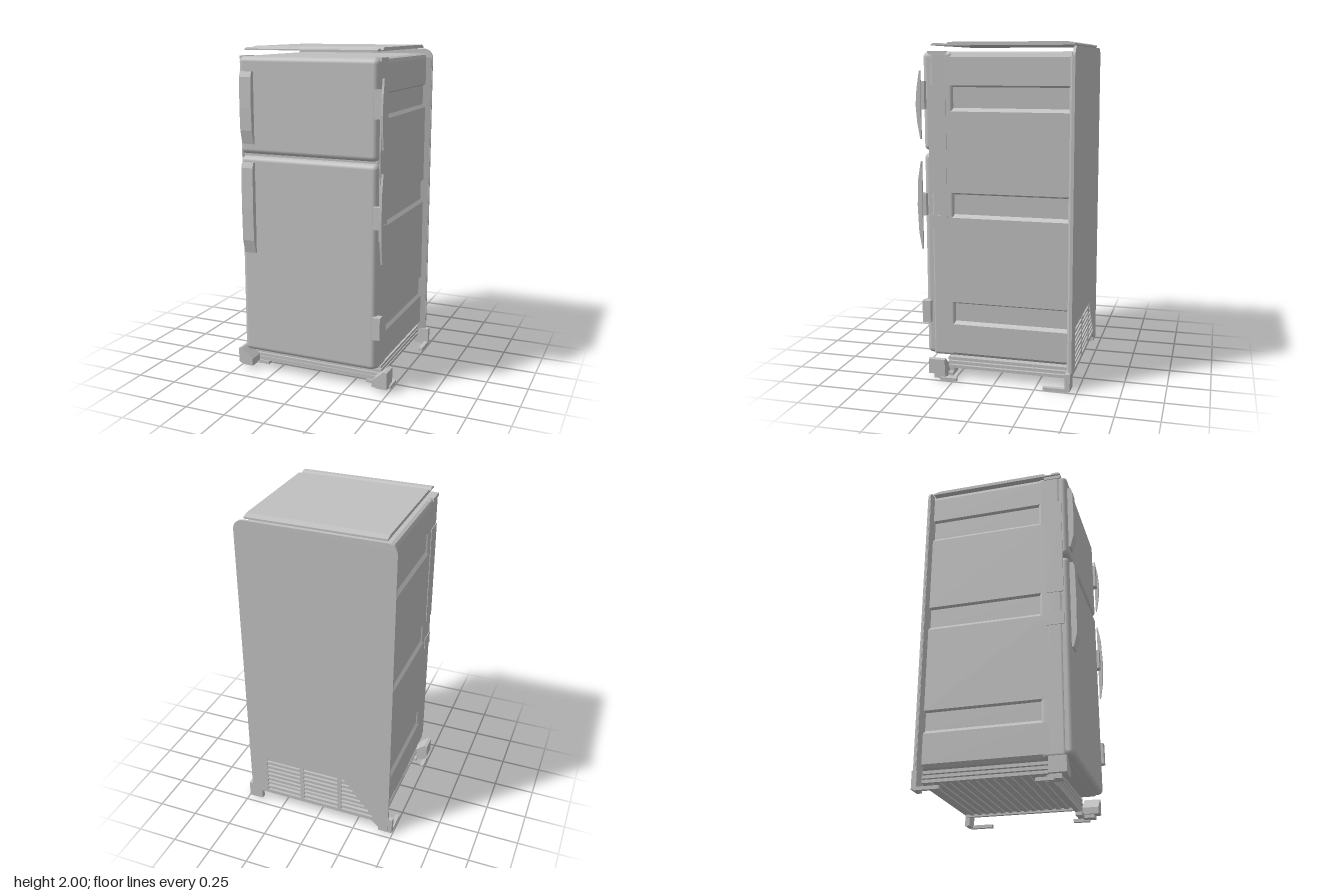
import * as THREE from 'three';
import { RoundedBoxGeometry } from 'three/addons/geometries/RoundedBoxGeometry.js';

export function createModel() {
  const model = new THREE.Group();
  model.name = 'refrigerator';
  const grey = new THREE.MeshStandardMaterial({ color: 0xc0c0c0 });
  grey.name = 'grey enamel';

  const add = (name, geometry) => {
    const mesh = new THREE.Mesh(geometry, grey);
    mesh.name = name;
    model.add(mesh);
    return mesh;
  };
  // Box from its limits; a radius rounds its edges
  const block = (name, x0, x1, y0, y1, z0, z1, radius = 0) => {
    const size = [x1 - x0, y1 - y0, z1 - z0];
    const geo = radius ? new RoundedBoxGeometry(...size, 4, radius) : new THREE.BoxGeometry(...size);
    geo.translate((x0 + x1) / 2, (y0 + y1) / 2, (z0 + z1) / 2);
    return add(name, geo);
  };
  const polygon = pts => new THREE.Shape(pts.map(p => new THREE.Vector2(...p)));
  // Extrude an (x, y) outline from z0 to z1
  const alongZ = (name, shape, z0, z1) => {
    const geo = new THREE.ExtrudeGeometry(shape, { depth: z1 - z0, bevelEnabled: false, curveSegments: 8 });
    geo.translate(0, 0, z0);
    return add(name, geo);
  };
  // Extrude a (z, y) outline from x0 to x1
  const alongX = (name, pts, x0, x1) => {
    const shape = polygon(pts.map(([z, y]) => [-z, y]));
    const geo = new THREE.ExtrudeGeometry(shape, { depth: x1 - x0, bevelEnabled: false });
    geo.rotateY(Math.PI / 2);
    geo.translate(x0, 0, 0);
    return add(name, geo);
  };

  // Cabinet with three pressed grooves in each side
  const W = 0.435, D = 0.016;
  const side = [[W - 0.02, 0.14], [W, 0.16]];
  for (const [low, high] of [[0.35, 0.47], [1.0, 1.13], [1.62, 1.75]]) {
    side.push([W, low - 0.012], [W - D, low + 0.008], [W - D, high - 0.004], [W, high + 0.006]);
  }
  side.push([W, 1.915], [W - 0.008, 1.937], [W - 0.025, 1.945]);
  const mirrored = side.map(([x, y]) => [-x, y]).reverse();
  alongZ('cabinet', polygon([...side, ...mirrored]), -0.44, 0.3);
  block('cabinetFrontFrame', -W, W, 0.14, 1.945, 0.25, 0.39, 0.02);

  // Doors
  block('freezerDoor', -0.432, 0.432, 1.38, 1.945, 0.32, 0.43, 0.03);
  block('mainDoor', -0.432, 0.432, 0.145, 1.365, 0.32, 0.43, 0.03);

  // Handles on the right-hand edge of the doors
  for (const [low, high] of [[1.44, 1.86], [0.78, 1.33]]) {
    alongX('handle', [[0.42, low], [0.44, low], [0.46, low + 0.08], [0.464, (low + high) / 2],
      [0.46, high - 0.03], [0.45, high], [0.42, high]], -0.41, -0.335);
  }
  // Slim bowed grips and mounts on the hinge side
  for (const [low, high, mountLow, mountHigh] of [[1.45, 1.84, 1.62, 1.78], [0.8, 1.32, 1.0, 1.13]]) {
    const mid = (low + high) / 2;
    alongX('sideGrip', [[0.43, low], [0.436, low], [0.453, low + 0.1], [0.46, mid],
      [0.453, high - 0.1], [0.436, high], [0.43, high]], 0.46, 0.472);
    block('gripMount', 0.415, 0.464, mountLow, mountHigh, 0.41, 0.445);
  }
  block('lowerHinge', 0.415, 0.464, 0.345, 0.48, 0.395, 0.445);
  for (const s of [-1, 1]) {
    block('topHinge', s * 0.42 - 0.02, s * 0.42 + 0.02, 1.928, 1.948, 0.29, 0.395);
    block('sideStrip', s * W - 0.004, s * W + 0.004, 1.13, 1.755, 0.29, 0.395);
    block('sideStrip', s * W - 0.004, s * W + 0.004, 0.92, 1.0, 0.29, 0.395);
  }

  // Raised lid with a stepped front lip
  alongX('lid', [[-0.45, 1.98], [0.385, 1.98], [0.385, 1.987], [0.37, 1.994], [0.34, 1.994],
    [0.325, 1.986], [0.295, 1.987], [0.28, 2], [-0.41, 2], [-0.45, 1.99]], -0.41, 0.41);

  // Back panel with rounded top corners, slanting lower edge and vent slots
  const back = new THREE.Shape();
  const B = 0.47, R = 0.06, T = 1.975;
  back.moveTo(-B, 0.02);
  back.lineTo(-0.42, 0.02);
  back.lineTo(-0.36, 0.075);
  back.lineTo(B - 0.02, 0.075);
  back.lineTo(B, 0.11);
  back.lineTo(B, T - R);
  back.absarc(B - R, T - R, R, 0, Math.PI / 2);
  back.lineTo(-B + R, T);
  back.absarc(-B + R, T - R, R, Math.PI / 2, Math.PI);
  back.closePath();
  for (let row = 0; row < 8; row++) {
    const y0 = 0.1 + row * 0.033, y1 = y0 + 0.019;
    const slant = -0.17 - (0.36 - y1) * 0.8;
    for (const [x0, x1] of [[0.125, 0.355], [-0.13, 0.1], [slant, -0.155]]) {
      if (x1 - x0 < 0.02) continue;
      back.holes.push(new THREE.Path([[x0, y0], [x0, y1], [x1, y1], [x1, y0]].map(p => new THREE.Vector2(...p))));
    }
  }
  alongZ('backPanel', back, -0.464, -0.45);

  // Flanges that taper from the back panel to the cabinet
  for (const s of [-1, 1]) {
    const flange = polygon([[0.42, 0.45], [0.467, 0.456], [0.467, 0.446], [0.42, 0.425]].map(([x, z]) => [s * x, z]));
    const geo = new THREE.ExtrudeGeometry(flange, { depth: 1.82, bevelEnabled: false });
    geo.rotateX(-Math.PI / 2);
    geo.translate(0, 0.1, 0);
    add('backFlange', geo);
  }

  // Ribbed floor pan and slatted base
  block('floorPan', -0.4, 0.4, 0.075, 0.125, -0.45, 0.28);
  block('basePillar', -0.36, 0.36, 0.12, 0.15, -0.42, 0.26);
  for (let i = 0; i < 14; i++) {
    const z = -0.42 + i * 0.051;
    block('floorRib', -0.39, 0.39, 0.066, 0.078, z, z + 0.026);
  }
  for (let i = 0; i < 3; i++) {
    const y = 0.058 + i * 0.025;
    block('baseSlat', -0.41, 0.41, y, y + 0.018, 0.27, 0.3);
    for (const s of [-1, 1]) block('baseRail', s * 0.41 - 0.012, s * 0.41 + 0.012, y, y + 0.018, -0.45, 0.3);
  }
  block('kickRail', -0.4, 0.4, 0.03, 0.055, 0.27, 0.3);

  // Feet: tapered front brackets with soles, and slim rear runners
  for (const s of [-1, 1]) {
    const bracket = polygon([[0.4, 0.03], [0.47, 0.03], [0.495, 0.04], [0.495, 0.13], [0.475, 0.135], [0.4, 0.07]]
      .map(([x, y]) => [s * x, y]));
    alongZ('frontBracket', bracket, 0.3, 0.4);
    block('frontPost', s * 0.45 - 0.035, s * 0.45 + 0.035, 0.01, 0.04, 0.3, 0.37);
    block('frontSole', s * 0.482 - 0.013, s * 0.482 + 0.013, 0, 0.02, 0.23, 0.33);
    block('frontPad', s * 0.38 - 0.05, s * 0.38 + 0.05, 0.01, 0.03, 0.27, 0.31);
    block('rearSole', s * 0.482 - 0.013, s * 0.482 + 0.013, 0, 0.02, -0.445, -0.3);
    block('rearPost', s * 0.45 - 0.045, s * 0.45 + 0.045, 0.005, 0.11, -0.46, -0.43);
  }
  return model;
}
